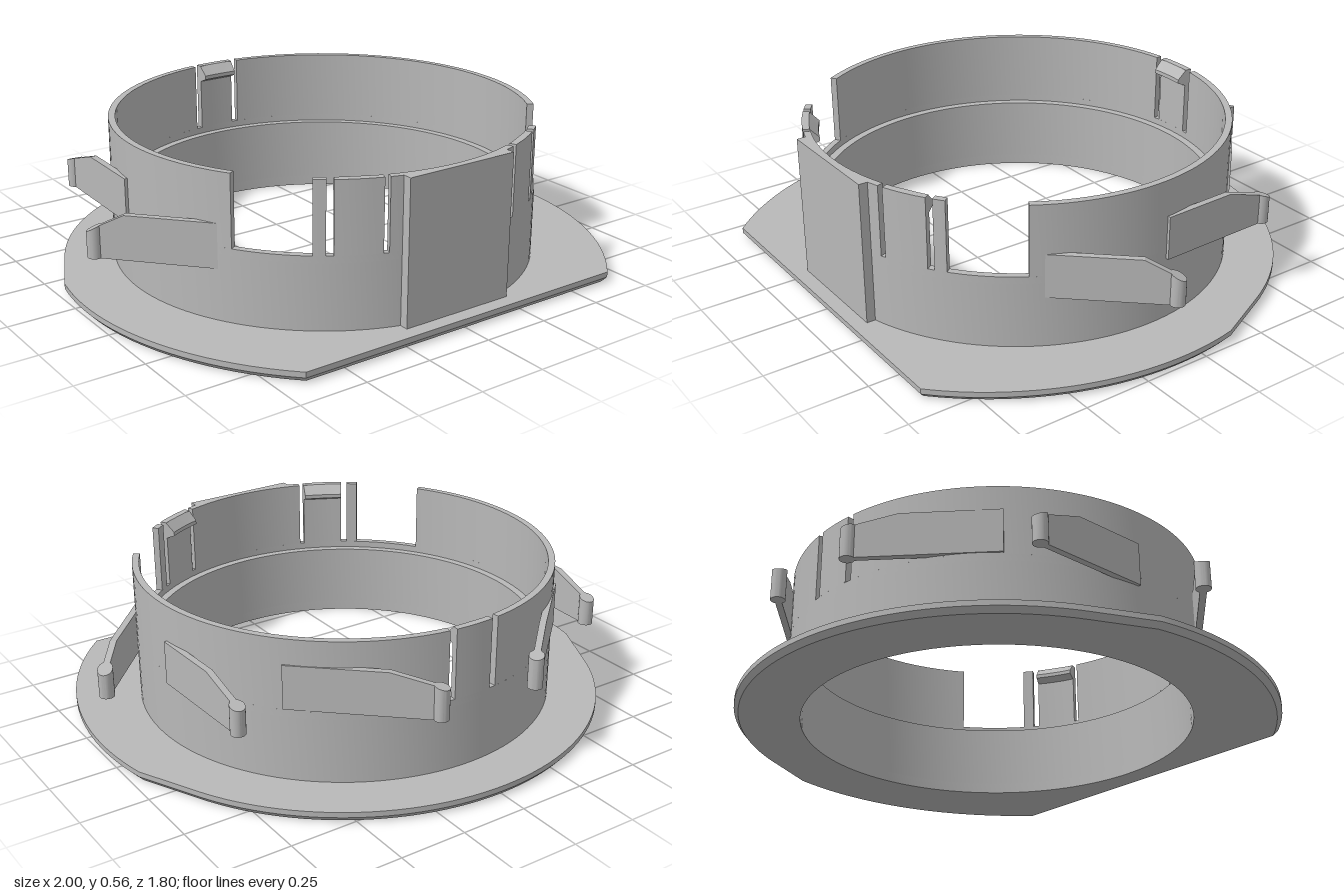
import * as THREE from 'three';
import { toCreasedNormals } from 'three/addons/utils/BufferGeometryUtils.js';

const CZ = 0.065; // z of the ring's axis
const R_OUT = 0.78, R_IN = 0.755, R_HOLE = 0.725;
const TOP = 0.565, NOTCH = 0.305, LEDGE = 0.28, PLATE = 0.04;
const rad = THREE.MathUtils.degToRad;

// Arc about the ring axis; degrees measured from +z toward +x. Plan points are (x, -z).
function arc(r, a0, a1, n = Math.max(3, Math.ceil(Math.abs(a1 - a0) / 3))) {
  return Array.from({ length: n + 1 }, (_, i) => {
    const a = rad(a0 + (a1 - a0) * i / n);
    return new THREE.Vector2(r * Math.sin(a), -(CZ + r * Math.cos(a)));
  });
}

// Extrude a plan shape upward from y0 to y1
function raise(shape, y0, y1, steps = 1) {
  return new THREE.ExtrudeGeometry(shape, { depth: y1 - y0, bevelEnabled: false, steps })
    .rotateX(-Math.PI / 2).translate(0, y0, 0);
}

function ring(r0, r1, y0, y1) {
  const s = new THREE.Shape(arc(r1, 0, 360, 120).slice(0, -1));
  s.holes.push(new THREE.Path(arc(r0, 0, 360, 120).slice(0, -1)));
  return raise(s, y0, y1);
}

function sector(r0, r1, a0, a1, y0, y1) {
  return raise(new THREE.Shape([...arc(r1, a0, a1), ...arc(r0, a1, a0)]), y0, y1);
}

// Apply fn(vertex) to every vertex
function warp(geo, fn) {
  const p = geo.attributes.position, v = new THREE.Vector3();
  for (let i = 0; i < p.count; i++) {
    v.fromBufferAttribute(p, i);
    fn(v);
    p.setXYZ(i, v.x, v.y, v.z);
  }
  return geo;
}

export function createModel() {
  const model = new THREE.Group();
  const grey = new THREE.MeshStandardMaterial({ color: 0xb8b8b8 });
  grey.name = 'plastic grey';
  const add = (name, geo, parent = model) => {
    const m = new THREE.Mesh(toCreasedNormals(geo, rad(25)), grey);
    m.name = name;
    parent.add(m);
    return m;
  };

  // Base flange: round back, wider side arcs, flat front, chamfered underside
  const side = [];
  for (let i = 0; i <= 24; i++) {
    const z = -0.13 + 1.03 * i / 24;
    side.push(new THREE.Vector2(-0.11 + Math.sqrt(1.11 ** 2 - (z - 0.1) ** 2), -z));
  }
  const mirrored = side.map(p => new THREE.Vector2(-p.x, p.y)).reverse();
  const outline = new THREE.Shape([...side.reverse(), ...arc(0.965, 115, 245, 50), ...mirrored.reverse()]);
  outline.holes.push(new THREE.Path(arc(R_HOLE, 0, 360, 120).slice(0, -1)));
  add('flange', warp(raise(outline, 0, PLATE, 2), v => {
    if (v.y < 0.001 && Math.hypot(v.x, v.z - CZ) > 0.76) {
      v.x *= 0.982;
      v.z *= 0.982;
    }
  }));

  // Lower collar with an inner ledge
  add('lowerCollar', ring(R_HOLE, R_OUT, PLATE, LEDGE));
  add('collarBand', ring(R_IN, R_OUT, LEDGE, NOTCH));

  // Upper collar, split by slits and two wide notches
  const wall = (name, a0, a1) => add(name, sector(R_IN, R_OUT, a0, a1, NOTCH, TOP));
  wall('frontWall', -19.6, 19.6);
  wall('backClip', 174.5, 185.5);
  for (const [name, a0, a1] of [['frontClip', 21, 33], ['notchPost', 34.8, 38], ['sideWall', 57.8, 172.6]]) {
    wall(name + 'Left', a0, a1);
    wall(name + 'Right', -a1, -a0);
  }

  // Wedge-shaped hooks on the inner face of the clips
  const hook = (name, a0, a1) => add(name, warp(sector(0.722, 0.757, a0, a1, 0.5, TOP), v => {
    if (Math.hypot(v.x, v.z - CZ) < 0.74) v.y = v.y > 0.53 ? 0.53 : 0.515;
  }));
  hook('backHook', 174.5, 185.5);
  hook('frontHookLeft', 21, 33);
  hook('frontHookRight', -33, -21);

  // Flat pad on the front of the collar
  const half = 0.22, edge = THREE.MathUtils.radToDeg(Math.asin(half / 0.77));
  add('frontPad', raise(new THREE.Shape([
    ...arc(0.77, -edge, edge, 12),
    new THREE.Vector2(half, -0.846), new THREE.Vector2(-half, -0.846),
  ]), PLATE, TOP));

  // Spring arms: root and tip in plan (x, z), height range, slope run and grade
  const arms = [
    ['backArm', [0.585, -0.445], [0.2, -0.8], 0.31, 0.472, 0.17, 0.25],
    ['middleArm', [0.776, 0], [0.76, -0.45], 0.27, 0.43, 0.17, 0.33],
    ['frontArm', [0.675, 0.43], [0.965, 0.11], 0.225, 0.385, 0.11, 0.5],
  ];
  const thick = 0.024, knobR = 0.027;
  for (const [name, root, tip, y0, y1, run, grade] of arms) {
    for (const sx of [1, -1]) {
      const dx = sx * (tip[0] - root[0]), dz = tip[1] - root[1], len = Math.hypot(dx, dz);
      const arm = new THREE.Group();
      arm.name = name + (sx > 0 ? 'Left' : 'Right');
      arm.position.set(sx * root[0], 0, root[1]);
      arm.rotation.y = Math.atan2(-dz, dx);
      const blade = new THREE.Shape([
        new THREE.Vector2(0, y0), new THREE.Vector2(len, y0),
        new THREE.Vector2(len, y1 - run * grade),
        new THREE.Vector2(len - run, y1), new THREE.Vector2(0, y1),
      ]);
      add('blade', new THREE.ExtrudeGeometry(blade, { depth: thick, bevelEnabled: false })
        .translate(0, 0, -thick / 2), arm);
      // Rounded tip, its top cut along the blade's slope
      const knob = new THREE.CylinderGeometry(knobR, knobR, 1, 24).translate(len, 0.5, 0);
      add('tip', warp(knob, v => {
        v.y = v.y < 0.5 ? y0 : y1 - (v.x - len + run) * grade;
      }), arm);
      model.add(arm);
    }
  }
  return model;
}
